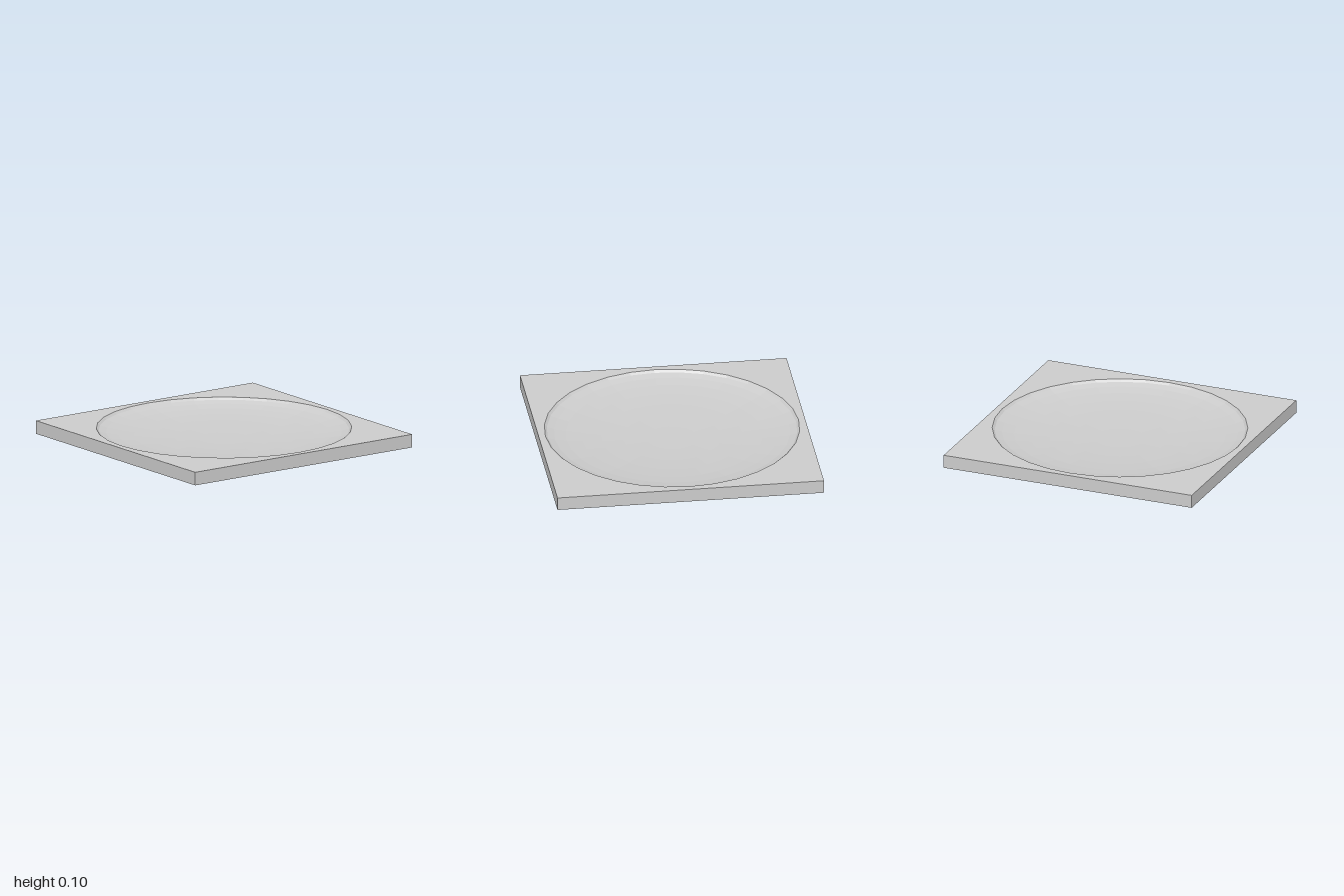
import * as THREE from 'three';

const SIZE = 2, HEIGHT = 0.1;
const RADIUS = 0.95, DEPTH = 0.085, SIDES = 32, RINGS = 8;

export function createModel() {
  const group = new THREE.Group();
  const material = new THREE.MeshStandardMaterial({ color: 0xcccccc, flatShading: true });
  const add = (name, geometry, y) => {
    const mesh = new THREE.Mesh(geometry, material);
    mesh.name = name;
    mesh.position.y = y;
    group.add(mesh);
  };

  // Square top face with a 32-sided opening
  const h = SIZE / 2;
  const square = new THREE.Shape([
    new THREE.Vector2(-h, -h), new THREE.Vector2(h, -h),
    new THREE.Vector2(h, h), new THREE.Vector2(-h, h),
  ]);
  const opening = Array.from({ length: SIDES }, (_, i) => {
    const a = (i / SIDES) * Math.PI * 2;
    return new THREE.Vector2(Math.sin(a) * RADIUS, Math.cos(a) * RADIUS);
  });
  square.holes.push(new THREE.Path(opening));
  add('topFace', new THREE.ShapeGeometry(square).rotateX(-Math.PI / 2), HEIGHT);

  // Four outer walls
  const walls = new THREE.CylinderGeometry(h * Math.SQRT2, h * Math.SQRT2, HEIGHT, 4, 1, true);
  add('outerWalls', walls.rotateY(Math.PI / 4), HEIGHT / 2);

  // Underside
  add('underside', new THREE.PlaneGeometry(SIZE, SIZE).rotateX(Math.PI / 2), 0);

  // Shallow dish: a flattened hemisphere, profiled from rim to centre
  const profile = Array.from({ length: RINGS + 1 }, (_, i) => {
    const a = (i / RINGS) * Math.PI / 2;
    return new THREE.Vector2(i === RINGS ? 0 : Math.cos(a) * RADIUS, -Math.sin(a) * DEPTH);
  });
  add('dish', new THREE.LatheGeometry(profile, SIDES), HEIGHT);

  return group;
}
